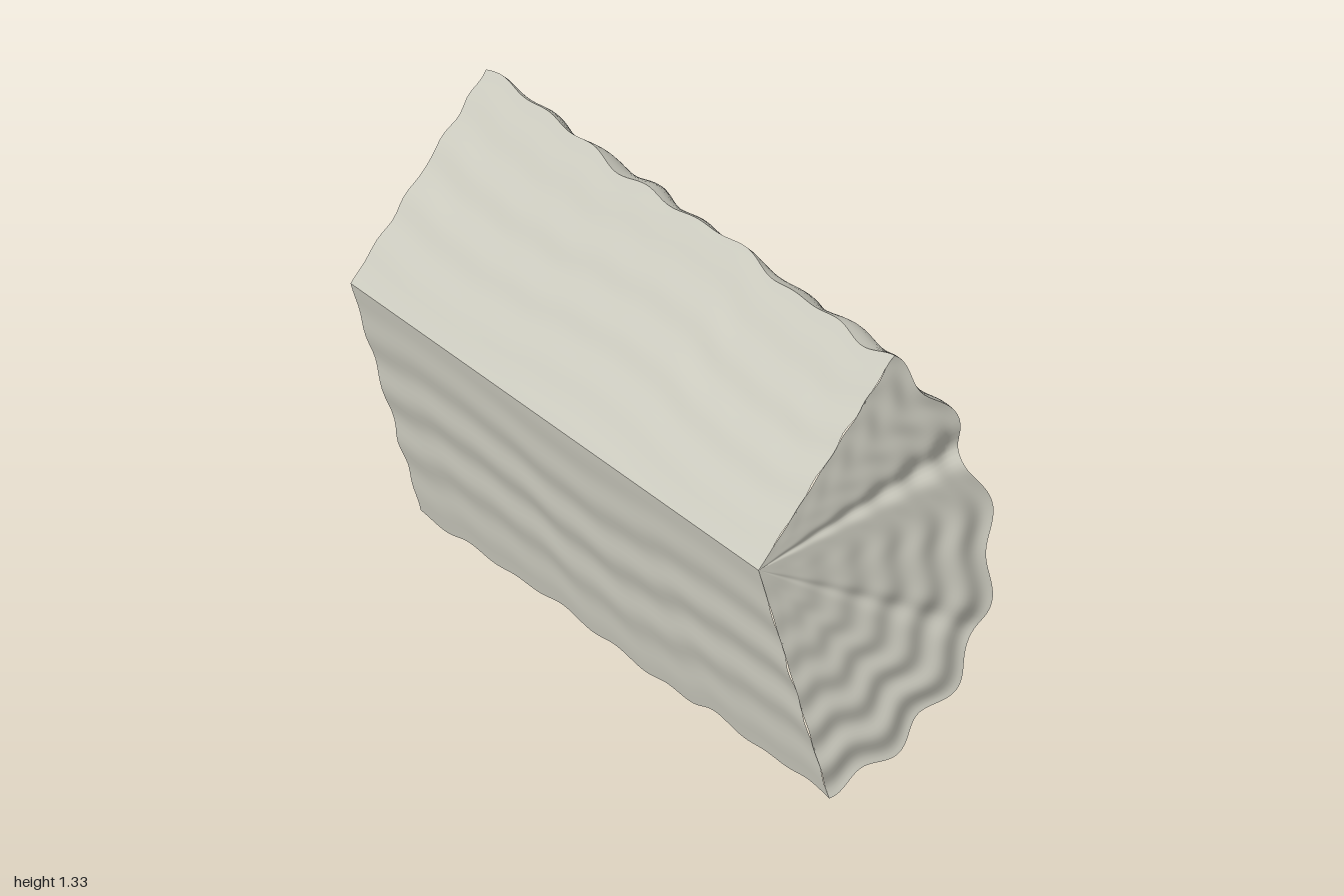
import * as THREE from 'three';

const LENGTH = 1.99;
const SPREAD = THREE.MathUtils.degToRad(128); // angle between the two split faces
const { sin, cos, exp, PI } = Math;

// Outer radius: wavy ridges running along the log
function barkRadius(a, t) {
  const sway = 0.35 * sin(t * 13 + a * 3) + 0.2 * sin(t * 31 + 1);
  return 0.416 + 0.012 * sin(a * 17 + sway * 2 + 0.6) + 0.004 * sin(t * 52 + a * 5)
    + 0.003 * sin(t * 24 - a * 11);
}

// Relief of the sawn ends: growth rings and radial cracks
function endRelief(s, a) {
  const rings = 0.004 * s * sin(s * 6 * 2 * PI + 0.5 * sin(a * 3));
  const crack = (at, depth) => -depth * s * exp(-(((a - at) / 0.06) ** 2));
  return rings + crack(0.5, 0.016) + crack(1.3, 0.009);
}

// Point in the log: s from core to bark, a around the core, t along the length
function point(s, a, t) {
  const r = s * barkRadius(a, t);
  return new THREE.Vector3(r * sin(a), r * cos(a), t * LENGTH + endRelief(s, a) * (2 * t - 1));
}

// Smooth grid surface facing along du x dv
function surface(nu, nv, fn) {
  const positions = [], index = [];
  for (let i = 0; i <= nu; i++) {
    for (let j = 0; j <= nv; j++) positions.push(...fn(i / nu, j / nv).toArray());
  }
  for (let i = 0; i < nu; i++) {
    for (let j = 0; j < nv; j++) {
      const p = i * (nv + 1) + j, q = p + nv + 1;
      index.push(p, q, q + 1, p, q + 1, p + 1);
    }
  }
  const geometry = new THREE.BufferGeometry();
  geometry.setAttribute('position', new THREE.Float32BufferAttribute(positions, 3));
  geometry.setIndex(index);
  geometry.computeVertexNormals();
  return geometry;
}

// Split face with faint grain along its length
function splitPoint(s, a, t) {
  const p = point(s, a, t);
  const grain = 0.003 * 4 * s * (1 - s) * sin(s * 26 + sin(t * 9) + a);
  return p.add(new THREE.Vector3(cos(a), -sin(a), 0).multiplyScalar(grain));
}

export function createModel() {
  const wood = new THREE.MeshStandardMaterial({ color: 0xcdccc0 });
  wood.name = 'paleWood';

  const log = new THREE.Group();
  log.name = 'splitLog';
  const add = (name, geometry) => {
    const mesh = new THREE.Mesh(geometry, wood);
    mesh.name = name;
    log.add(mesh);
  };

  add('bark', surface(140, 96, (u, v) => point(1, v * SPREAD, u)));
  add('upperSplitFace', surface(140, 30, (u, v) => splitPoint(v, 0, u)));
  add('lowerSplitFace', surface(30, 140, (u, v) => splitPoint(u, SPREAD, v)));
  add('frontEnd', surface(96, 60, (u, v) => point(v, u * SPREAD, 1)));
  add('backEnd', surface(60, 96, (u, v) => point(u, v * SPREAD, 0)));

  // Tilt the log so its core edge rises toward the front
  const along = new THREE.Vector3(0.85, 0.625, 1.69).normalize();
  const side = new THREE.Vector3(0.2, 0.29, -0.21).cross(along).normalize();
  const up = along.clone().cross(side);
  log.applyMatrix4(new THREE.Matrix4().makeBasis(side, up, along).setPosition(-0.62, 0.395, -0.78));

  const model = new THREE.Group();
  model.name = 'firewood';
  model.add(log);
  return model;
}
